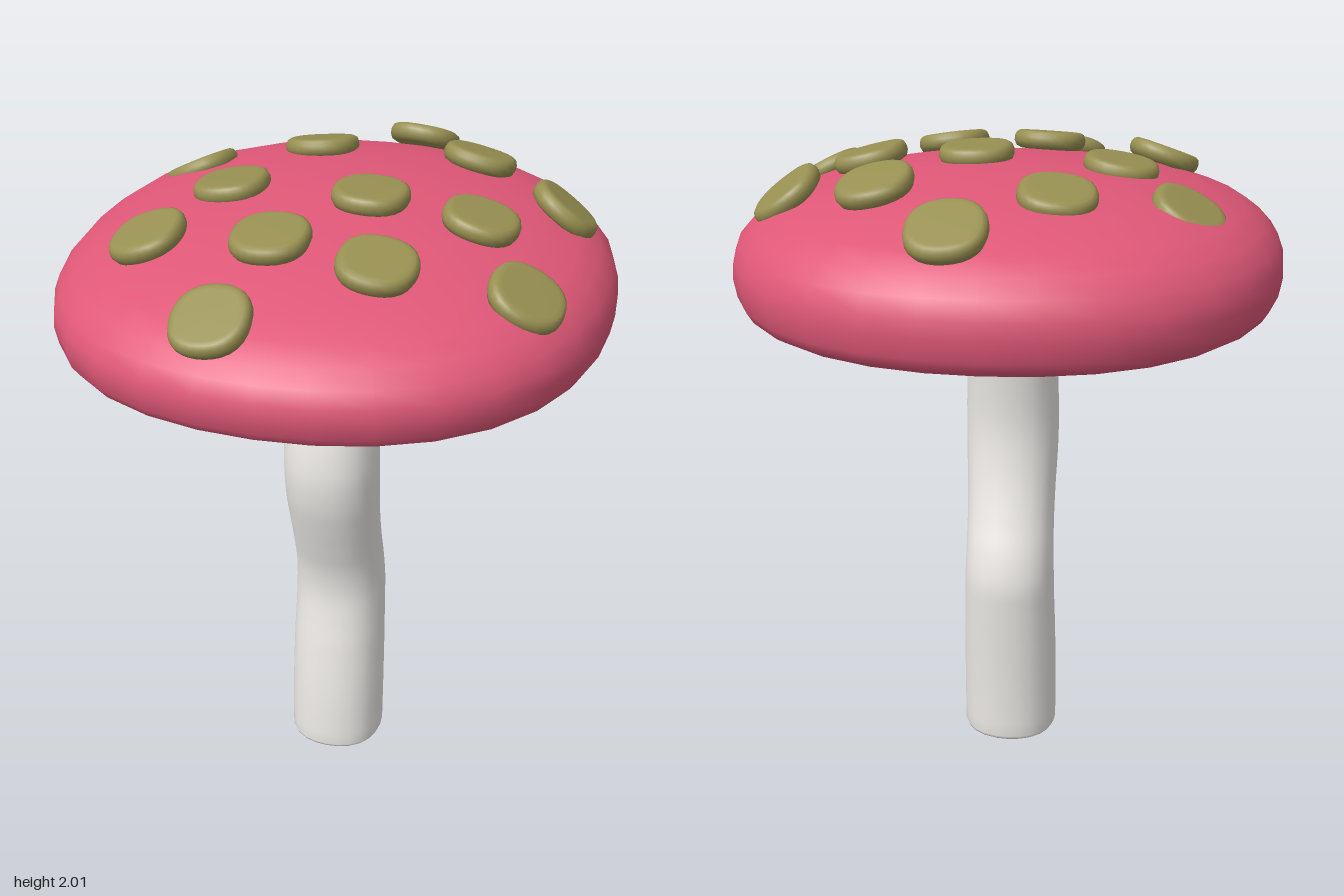
import * as THREE from 'three';

const capMat = new THREE.MeshStandardMaterial({ color: 0xe05878 });
const spotMat = new THREE.MeshStandardMaterial({ color: 0x989052 });
const stemMat = new THREE.MeshStandardMaterial({ color: 0xeeebe8 });

const lathe = (pts, sides) =>
  new THREE.LatheGeometry(pts.map(([r, y]) => new THREE.Vector2(r, y)), sides);

// Push the outline out along the diagonals, making circles softly square
function square(v, amount) {
  const s = 1 + amount * (1 - Math.cos(4 * Math.atan2(v.z, v.x))) / 2;
  v.x *= s;
  v.z *= s;
}

// Move every vertex by a rule, then refresh the normals and weld those of the seam
function deform(geo, rule, rings) {
  const p = geo.attributes.position;
  const v = new THREE.Vector3();
  for (let i = 0; i < p.count; i++) {
    rule(v.fromBufferAttribute(p, i), i % rings);
    p.setXYZ(i, v.x, v.y, v.z);
  }
  geo.computeVertexNormals();
  const n = geo.attributes.normal;
  const a = new THREE.Vector3(), b = new THREE.Vector3();
  for (let k = 0, last = p.count - rings; k < rings; k++) {
    a.fromBufferAttribute(n, k).add(b.fromBufferAttribute(n, last + k)).normalize();
    n.setXYZ(k, a.x, a.y, a.z);
    n.setXYZ(last + k, a.x, a.y, a.z);
  }
  return geo;
}

// Wavy stem: horizontal rings shifted along a curve of [y, z offset, radius]
function makeStem() {
  const curve = new THREE.CatmullRomCurve3([
    [0.022, 0.02, 0.154], [0.2, 0.012, 0.154], [0.4, -0.005, 0.151], [0.5, -0.016, 0.148],
    [0.6, -0.023, 0.146], [0.7, -0.008, 0.143], [0.8, 0.024, 0.142], [0.9, 0.055, 0.144],
    [1.0, 0.079, 0.148], [1.12, 0.09, 0.149], [1.3, 0.07, 0.144], [1.45, 0.042, 0.137],
    [1.66, 0.01, 0.128],
  ].map(c => new THREE.Vector3(...c)));
  const rings = curve.getPoints(48);
  const profile = [[0, 0], [0.125, 0], [0.137, 0.002], [0.148, 0.01], ...rings.map(c => [c.z, c.x])];
  const offsets = [0.02, 0.02, 0.02, 0.02, ...rings.map(c => c.y)];
  const geo = deform(lathe(profile, 24), (v, ring) => {
    square(v, 0.035);
    v.z += offsets[ring];
  }, profile.length);
  const mesh = new THREE.Mesh(geo, stemMat);
  mesh.name = 'stem';
  return mesh;
}

// Oval cap with a hollowed underside, its crown leaning slightly up at the back
function makeCap() {
  const profile = [
    [0, 1.625], [0.72, 1.625], [0.79, 1.617], [0.835, 1.595], [0.865, 1.57], [0.895, 1.558],
    [0.93, 1.558], [0.965, 1.575], [0.988, 1.605],
    [1, 1.66], [0.995, 1.705], [0.973, 1.753], [0.925, 1.797], [0.85, 1.838], [0.7, 1.886],
    [0.5, 1.923], [0.25, 1.947], [0.1, 1.954], [0, 1.956],
  ];
  const geo = deform(lathe(profile, 32), v => {
    square(v, 0.037);
    v.x *= 0.823;
    v.z *= 0.86;
    v.y -= 0.05 * v.z * (v.y - 1.557) / 0.4;
  }, profile.length);
  const mesh = new THREE.Mesh(geo, capMat);
  mesh.name = 'cap';
  return mesh;
}

// Softly squared disc with rounded edges
function makeSpotGeometry() {
  const profile = [[0, -0.028], [0.09, -0.028], [0.106, -0.021], [0.113, -0.006],
    [0.113, 0.008], [0.108, 0.021], [0.098, 0.027], [0.085, 0.028], [0, 0.028]];
  return deform(lathe(profile, 28), v => square(v, 0.05), profile.length);
}

export function createModel() {
  const model = new THREE.Group();
  model.name = 'mushroom';
  model.add(makeStem(), makeCap());

  // Spots scattered over the crown, tilted to follow its slope (last value: extra tilt)
  const spots = new THREE.Group();
  spots.name = 'spots';
  const geo = makeSpotGeometry();
  const up = new THREE.Vector3(0, 1, 0);
  [
    [0.1, 1.91, -0.68], [-0.17, 1.945, -0.41], [0.34, 1.958, -0.38], [-0.53, 1.878, -0.29, 1.2],
    [0.63, 1.885, -0.21, 1.4], [-0.33, 1.94, 0], [0.105, 1.966, 0.04], [0.435, 1.938, 0.08],
    [-0.455, 1.903, 0.36], [-0.09, 1.942, 0.375], [0.225, 1.92, 0.43], [0.615, 1.838, 0.35],
    [-0.145, 1.838, 0.715],
  ].forEach(([x, y, z, tilt = 1]) => {
    const steep = tilt * (0.4 + x * x + z * z);
    const normal = new THREE.Vector3(x * steep, 1, z * steep * 0.85).normalize();
    const spot = new THREE.Mesh(geo, spotMat);
    spot.name = 'spot';
    spot.position.set(x, y, z);
    spot.quaternion.setFromUnitVectors(up, normal);
    spots.add(spot);
  });
  model.add(spots);
  return model;
}
